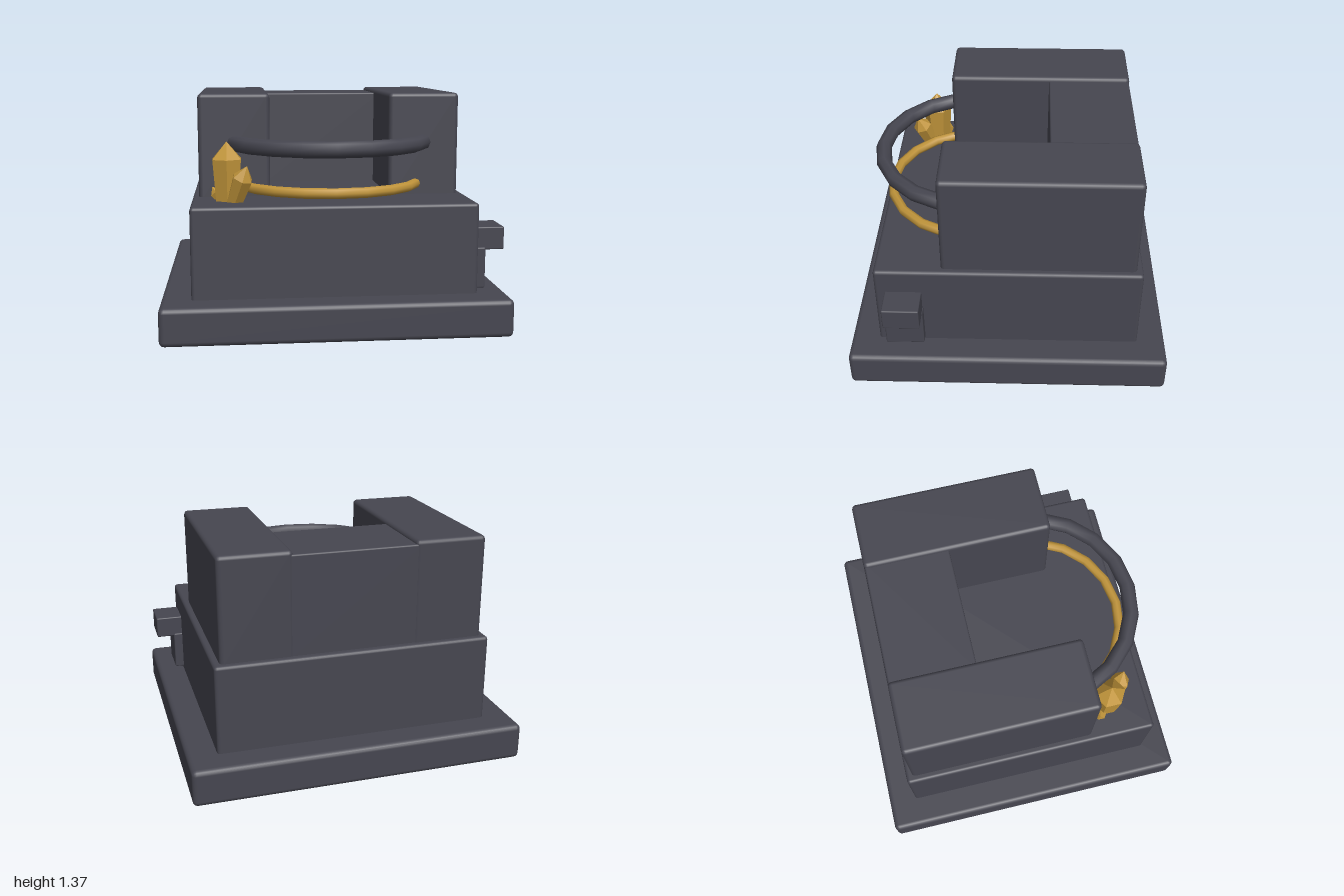
import * as THREE from 'three';
import { RoundedBoxGeometry } from 'three/addons/geometries/RoundedBoxGeometry.js';

export function createModel() {
  const model = new THREE.Group();
  model.name = 'stoneSeat';

  const stone = new THREE.MeshStandardMaterial({ color: 0x464650 });
  stone.name = 'darkStone';
  const gold = new THREE.MeshStandardMaterial({ color: 0xc0943a });
  gold.name = 'gold';
  const crystalGold = gold; // one shared colour; facets come from split normals

  function add(name, geometry, material) {
    const mesh = new THREE.Mesh(geometry, material);
    mesh.name = name;
    model.add(mesh);
    return mesh;
  }

  // Bevelled block given by its min and max corners
  function block(name, [x0, y0, z0], [x1, y1, z1], bevel = 0.025) {
    const geometry = new RoundedBoxGeometry(x1 - x0, y1 - y0, z1 - z0, 2, bevel);
    add(name, geometry, stone).position.set((x0 + x1) / 2, (y0 + y1) / 2, (z0 + z1) / 2);
  }

  // Stepped base and seat
  block('basePlinth', [-1, 0, -0.953], [1, 0.22, 0.953], 0.03);
  block('seatBlock', [-0.826, 0.2, -0.783], [0.826, 0.75, 0.783], 0.02);

  // Armrests and backrest
  block('rightArmrest', [-0.787, 0.72, -0.746], [-0.36, 1.365, 0.392], 0.025);
  block('leftArmrest', [0.36, 0.72, -0.746], [0.787, 1.365, 0.392], 0.025);
  block('backrest', [-0.4, 0.72, -0.742], [0.4, 1.342, -0.232], 0.01);

  // Lever on the left side of the seat
  block('leverPlate', [0.8, 0.238, 0.503], [0.882, 0.48, 0.733], 0.008);
  block('leverHandle', [0.8, 0.465, 0.508], [0.992, 0.6, 0.724], 0.008);

  // Curved bars reaching forward between the armrests
  function bar(name, radius, tube, y, material) {
    const geometry = new THREE.TorusGeometry(radius, tube, 8, 10, Math.PI);
    geometry.rotateX(Math.PI / 2);
    add(name, geometry, material).position.set(0, y, 0.2);
  }
  bar('upperBar', 0.6, 0.048, 1.068, stone);
  bar('lowerBar', 0.56, 0.031, 0.815, gold);

  // Six-sided faceted crystal growing from its base towards its tip
  function crystal(name, base, tip, radius, shoulder) {
    const from = new THREE.Vector3(...base);
    const axis = new THREE.Vector3(...tip).sub(from);
    const h = axis.length();
    const profile = [[0, 0], [radius * 0.78, 0], [radius, h * shoulder], [0, h]]
      .map(([r, y]) => new THREE.Vector2(r, y));
    const geometry = new THREE.LatheGeometry(profile, 6).toNonIndexed();
    geometry.computeVertexNormals();
    const mesh = add(name, geometry, crystalGold);
    mesh.position.copy(from);
    mesh.quaternion.setFromUnitVectors(new THREE.Vector3(0, 1, 0), axis.normalize());
  }
  crystal('largeCrystal', [-0.615, 0.73, 0.525], [-0.617, 1.095, 0.525], 0.095, 0.72);
  crystal('mediumCrystal', [-0.58, 0.73, 0.575], [-0.5, 0.965, 0.65], 0.062, 0.68);
  crystal('smallCrystal', [-0.64, 0.73, 0.48], [-0.705, 0.82, 0.46], 0.04, 0.65);
  crystal('tinyCrystal', [-0.56, 0.73, 0.47], [-0.53, 0.81, 0.425], 0.035, 0.65);

  return model;
}
